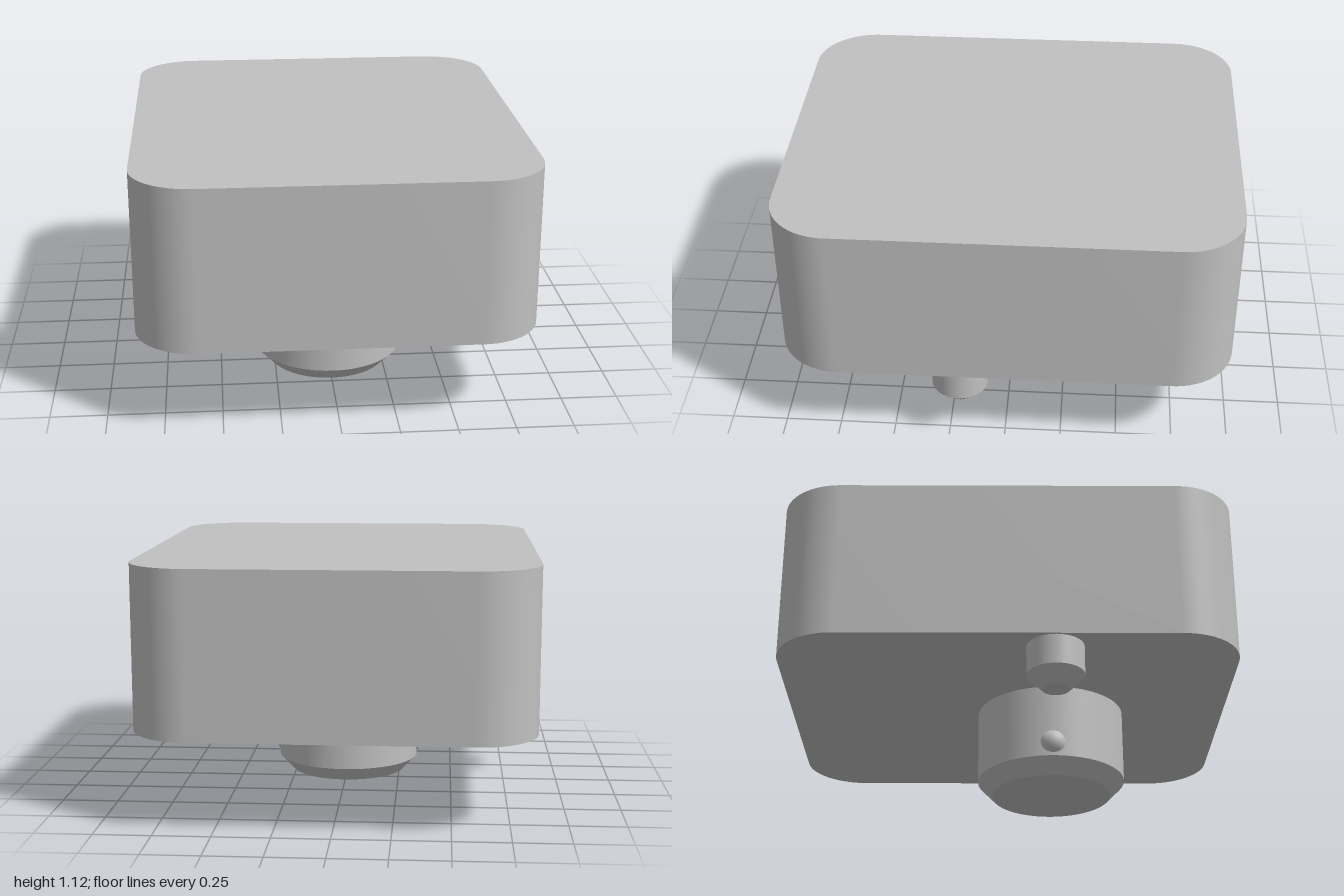
import * as THREE from 'three';
import { toCreasedNormals } from 'three/addons/utils/BufferGeometryUtils.js';

const HALF_W = 0.865, HALF_D = 1, BODY_BOTTOM = 0.4, BODY_TOP = 1.12, CORNER = 0.27;
const PEG_Z = 0.2;

// Rounded rectangle slab standing on the base plane
function bodyGeometry() {
  const s = new THREE.Shape();
  const w = HALF_W - CORNER, d = HALF_D - CORNER, q = Math.PI / 2;
  s.absarc(w, d, CORNER, 0, q);
  s.absarc(-w, d, CORNER, q, 2 * q);
  s.absarc(-w, -d, CORNER, 2 * q, 3 * q);
  s.absarc(w, -d, CORNER, 3 * q, 4 * q);
  s.closePath();
  const g = new THREE.ExtrudeGeometry(s, {
    depth: BODY_TOP - BODY_BOTTOM, bevelEnabled: false, curveSegments: 20,
  });
  g.rotateX(-Math.PI / 2);
  g.translate(0, BODY_BOTTOM, 0);
  return toCreasedNormals(g, 0.6);
}

// Round peg with a chamfered tip; doubled points keep the edges sharp
function pegGeometry(radius, tipRadius, bottom, chamferTop) {
  const profile = [
    [0, bottom], [tipRadius, bottom], [tipRadius, bottom],
    [radius, chamferTop], [radius, chamferTop], [radius, BODY_BOTTOM],
  ].map(([x, y]) => new THREE.Vector2(x, y));
  return new THREE.LatheGeometry(profile, 64);
}

export function createModel() {
  const group = new THREE.Group();
  const grey = new THREE.MeshStandardMaterial({ color: 0xc0c0c0 });
  grey.name = 'light grey';

  const add = (name, geometry, x = 0, y = 0, z = 0) => {
    const mesh = new THREE.Mesh(geometry, grey);
    mesh.name = name;
    mesh.position.set(x, y, z);
    group.add(mesh);
  };

  add('body', bodyGeometry());
  add('centralPlug', pegGeometry(0.335, 0.27, 0, 0.068), 0, 0, PEG_Z);

  // Side locating pins and the detent balls on the plug
  const pin = pegGeometry(0.124, 0.06, 0.203, 0.267);
  const ball = new THREE.SphereGeometry(0.067, 32, 24);
  for (const [side, sx] of [['left', 1], ['right', -1]]) {
    add(side + 'Pin', pin, sx * 0.732, 0, PEG_Z);
    add(side + 'DetentBall', ball, sx * 0.292, 0.135, PEG_Z);
  }
  return group;
}
